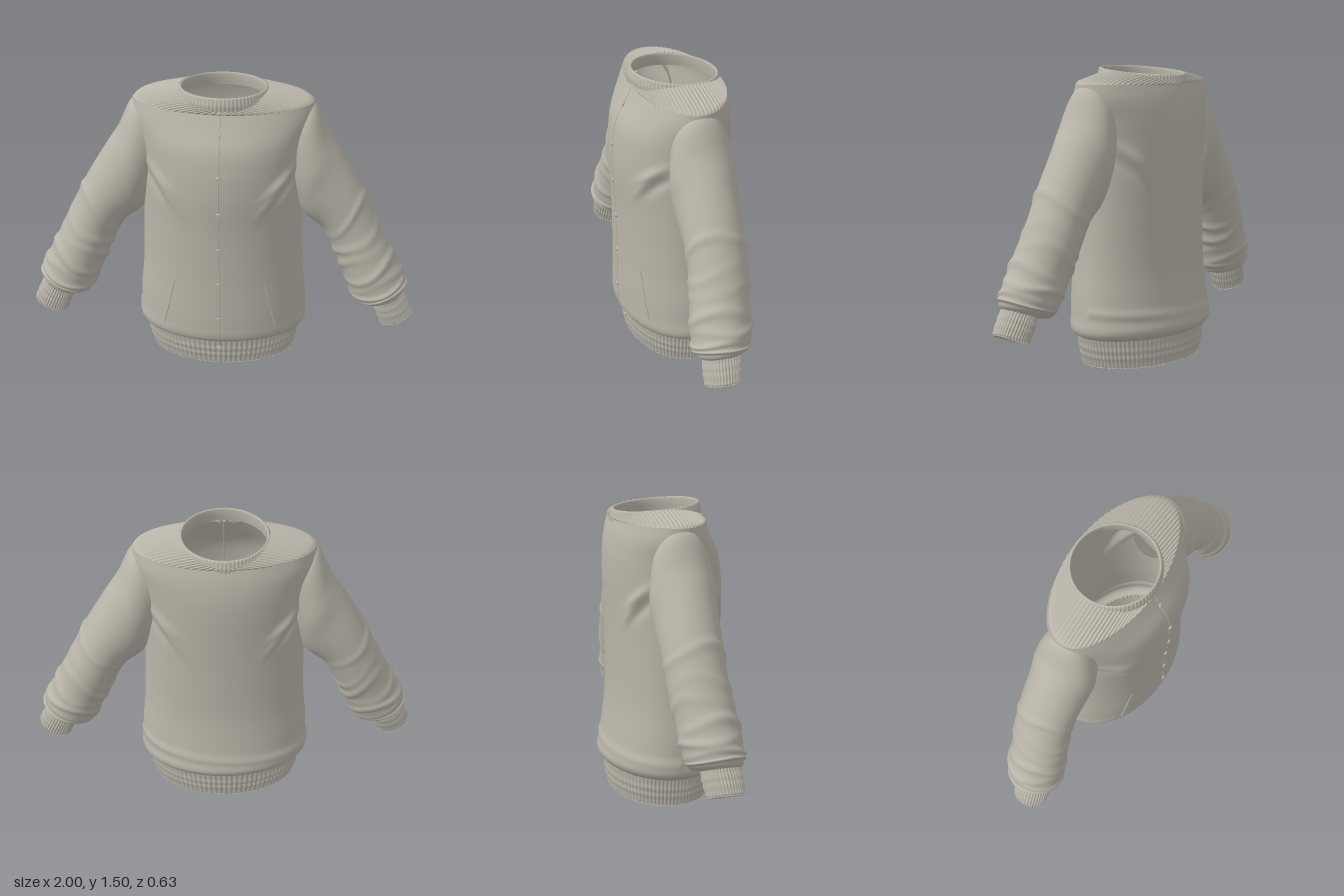
import * as THREE from 'three';

const fabric = new THREE.MeshStandardMaterial({ color: 0xb9b5a9, side: THREE.DoubleSide });
fabric.name = 'warm grey fabric';

// Smooth interpolation through rows of [position, ...values]
function spline(rows) {
  const size = rows[0].length - 1;
  const s = new THREE.CubicInterpolant(rows.map(r => r[0]), rows.flatMap(r => r.slice(1)), size);
  return t => Array.from(s.evaluate(t));
}

// Closed-ring loft; point(v, angle) returns [x, y, z], v runs from 0 to 1
function loft(name, rows, seg, point, flip = false) {
  const pos = [], index = [];
  for (let i = 0; i <= rows; i++) {
    for (let j = 0; j < seg; j++) pos.push(...point(i / rows, (j / seg) * Math.PI * 2));
  }
  for (let i = 0; i < rows; i++) {
    for (let j = 0; j < seg; j++) {
      const k = (j + 1) % seg;
      const a = i * seg + j, b = i * seg + k, c = b + seg, d = a + seg;
      if (flip) index.push(a, c, b, a, d, c);
      else index.push(a, b, c, a, c, d);
    }
  }
  const g = new THREE.BufferGeometry();
  g.setAttribute('position', new THREE.Float32BufferAttribute(pos, 3));
  g.setIndex(index);
  g.computeVertexNormals();
  return named(name, g);
}

function named(name, geometry) {
  const m = new THREE.Mesh(geometry, fabric);
  m.name = name;
  return m;
}

const lerp = THREE.MathUtils.lerp;
const bump = (t, c, w) => Math.exp(-(((t - c) / w) ** 2));
const ribs = (a, n, amp) => amp * Math.cos(a * n);

// Torso sections: height, half width, front depth, back depth
const torso = spline([
  [0.145, 0.405, 0.258, 0.272], [0.16, 0.43, 0.285, 0.293], [0.19, 0.442, 0.298, 0.31],
  [0.24, 0.437, 0.30, 0.30], [0.35, 0.432, 0.30, 0.283], [0.5, 0.418, 0.298, 0.267],
  [0.8, 0.408, 0.303, 0.265], [1.0, 0.408, 0.315, 0.27], [1.15, 0.415, 0.308, 0.275],
  [1.25, 0.43, 0.288, 0.272], [1.35, 0.455, 0.238, 0.256], [1.42, 0.45, 0.205, 0.235],
]);

const frontPoint = (x, y, lift = 0) => {
  const [w, f] = torso(y);
  return new THREE.Vector3(x, y, f * Math.sqrt(1 - (x / w) ** 2) + lift);
};

// Diagonal creases running from the armpits and soft folds over the hem
const creases = [[0.29, 1.06, 0.75, 0.012], [0.26, 0.99, 0.95, 0.010], [0.33, 1.02, 0.9, -0.008]];
function torsoFold(x, y, front) {
  let d = 0;
  for (const [cx, cy, ang, amp] of creases) {
    const dx = Math.abs(x) - cx, dy = y - cy;
    const along = dx * Math.cos(ang) + dy * Math.sin(ang);
    const across = -dx * Math.sin(ang) + dy * Math.cos(ang);
    d += amp * bump(along, 0, 0.09) * bump(across, 0, 0.02);
  }
  if (!front) d += 0.007 * bump(y, 0.26 + 0.06 * x, 0.02);
  return d;
}

// Sleeve sections: step, outer x y, inner x y, centre z, half depth
const sleeve = spline([
  [0, 0.34, 1.39, 0.25, 1.12, 0, 0.10],
  [1, 0.45, 1.405, 0.31, 1.02, 0, 0.14],
  [2, 0.53, 1.25, 0.36, 0.92, 0, 0.165],
  [3, 0.60, 1.14, 0.41, 0.81, 0, 0.157],
  [4, 0.70, 0.97, 0.505, 0.73, 0, 0.15],
  [5, 0.785, 0.80, 0.57, 0.61, 0.005, 0.147],
  [6, 0.87, 0.62, 0.63, 0.47, 0.025, 0.147],
  [7, 0.945, 0.47, 0.675, 0.36, 0.038, 0.145],
  [8, 0.955, 0.41, 0.72, 0.315, 0.045, 0.13],
  [9, 0.94, 0.38, 0.79, 0.32, 0.055, 0.098],
]);

// Sleeve folds: step, width, height, direction of greatest height
const sleeveFolds = [
  [4.35, 0.12, 0.009, 0.3], [5.15, 0.12, 0.010, 2.6], [5.6, 0.13, 0.011, 3.6],
  [6.2, 0.13, 0.012, 0.8], [6.65, 0.12, 0.011, 5.4], [7.1, 0.13, 0.012, 1.6], [7.6, 0.14, 0.012, 0.2],
];

function ringPoint([ox, oy, ix, iy, zc, rz], a, extra, side) {
  const hx = (ox - ix) / 2, hy = (oy - iy) / 2, k = 1 + extra / Math.hypot(hx, hy);
  return [
    side * ((ox + ix) / 2 + hx * Math.cos(a) * k),
    (oy + iy) / 2 + hy * Math.cos(a) * k,
    zc + (rz + extra) * Math.sin(a),
  ];
}

function makeArm(side, label) {
  const arm = new THREE.Group();
  arm.name = label + 'Arm';
  arm.add(loft('sleeve', 110, 64, (v, a) => {
    const t = v * 9;
    let d = 0;
    for (const [c, w, h, dir] of sleeveFolds) {
      d += h * bump(t + 0.12 * Math.sin(a * 2 + dir), c, w) * (0.6 + 0.4 * Math.cos(a - dir));
    }
    return ringPoint(sleeve(t), a, d, side);
  }, side < 0));

  // Ribbed cuff with a turned-in edge
  const top = [0.938, 0.39, 0.788, 0.322, 0.055, 0.096];
  const end = [1.0, 0.268, 0.834, 0.195, 0.067, 0.088];
  arm.add(loft('cuff', 16, 192, (v, a) => {
    const out = Math.min(v / 0.75, 1);
    const ring = top.map((n, i) => lerp(n, end[i], v <= 0.75 ? out : 1 - (v - 0.75) * 2.4));
    const d = v <= 0.75
      ? ribs(a, 38, 0.0025) + 0.004 * (bump(out, 0.35, 0.07) + bump(out, 0.62, 0.07))
      : -0.009;
    return ringPoint(ring, a, d, side);
  }, side < 0));
  return arm;
}

export function createModel() {
  const jacket = new THREE.Group();
  jacket.name = 'jacket';

  // Torso
  jacket.add(loft('torso', 90, 128, (v, a) => {
    const y = lerp(0.145, 1.42, v), [w, f, b] = torso(y);
    const s = Math.sin(a), c = Math.cos(a), x = w * s;
    const fold = torsoFold(x, y, c > 0);
    return [x + fold * s, y, (c > 0 ? f : b) * c + fold * Math.sign(c) * Math.min(1, Math.abs(c) * 3)];
  }));

  // Ribbed waistband, turned in at the bottom
  jacket.add(loft('waistband', 20, 450, (v, a) => {
    const inside = v < 0.3;
    const t = inside ? 1 - v / 0.3 : (v - 0.3) / 0.7;
    const d = inside ? -0.012
      : ribs(a, 90, 0.003) + 0.005 * (bump(t, 0.35, 0.06) + bump(t, 0.6, 0.06));
    const s = Math.sin(a), c = Math.cos(a);
    const depth = c > 0 ? lerp(0.242, 0.262, t) : lerp(0.258, 0.275, t);
    return [(lerp(0.375, 0.407, t) + d) * s, t * 0.15, (depth + d) * c];
  }));

  // Ribbed shoulder yoke rising to the neck
  jacket.add(loft('shoulderYoke', 18, 432, (v, a) => {
    const s = Math.sin(a), c = Math.cos(a);
    const edge = Math.sin(Math.min(1, v * 8) * Math.PI / 2);
    const rib = ribs(a, 72, 0.003) * edge;
    const depth = c > 0 ? lerp(0.208, 0.203, v) : lerp(0.237, 0.23, v);
    const rise = 0.012 * v + s * s * (0.03 * Math.sqrt(v) + 0.018 * v);
    return [lerp(0.45, 0.222, v) * s, 1.413 + rise + 0.006 * edge + rib, (depth + 0.004 * edge + rib) * c];
  }));

  // Ribbed neckband, higher at the front, with an inner face
  const neck = spline([
    [0, 0.228, 1.418], [0.2, 0.229, 1.44], [0.4, 0.224, 1.462], [0.6, 0.217, 1.48],
    [0.7, 0.209, 1.48], [0.85, 0.208, 1.45], [1, 0.212, 1.415],
  ]);
  jacket.add(loft('neckband', 20, 360, (v, a) => {
    const [r0, y] = neck(v);
    const r = r0 + (v < 0.6 ? ribs(a, 72, 0.002) : 0);
    const z = r * Math.cos(a) - 0.012;
    return [r * Math.sin(a), y + 0.09 * z, z];
  }));

  jacket.add(makeArm(1, 'left'), makeArm(-1, 'right'));

  // Front closure seam
  const seam = [];
  for (let i = 0; i <= 24; i++) seam.push(frontPoint(0, lerp(0.16, 1.41, i / 24), -0.001));
  seam.unshift(new THREE.Vector3(0, 0.005, 0.243), new THREE.Vector3(0, 0.14, 0.262));
  jacket.add(named('frontSeam', new THREE.TubeGeometry(new THREE.CatmullRomCurve3(seam), 80, 0.004, 6)));

  // Buttons
  for (const y of [0.1, 0.305, 0.51, 0.715, 0.92, 1.12, 1.33]) {
    const button = named('button', new THREE.CylinderGeometry(0.011, 0.013, 0.01, 16).rotateX(Math.PI / 2));
    if (y < 0.15) button.position.set(0, y, 0.263);
    else button.position.copy(frontPoint(0, y, 0.003));
    if (y > 1.3) button.rotation.x = -0.45;
    jacket.add(button);
  }

  // Slanted pocket welts
  for (const side of [-1, 1]) {
    const pts = [];
    for (let i = 0; i <= 6; i++) pts.push(frontPoint(side * lerp(0.23, 0.29, i / 6), lerp(0.5, 0.23, i / 6), 0));
    jacket.add(named('pocketWelt', new THREE.TubeGeometry(new THREE.CatmullRomCurve3(pts), 24, 0.004, 6)));
  }
  return jacket;
}
